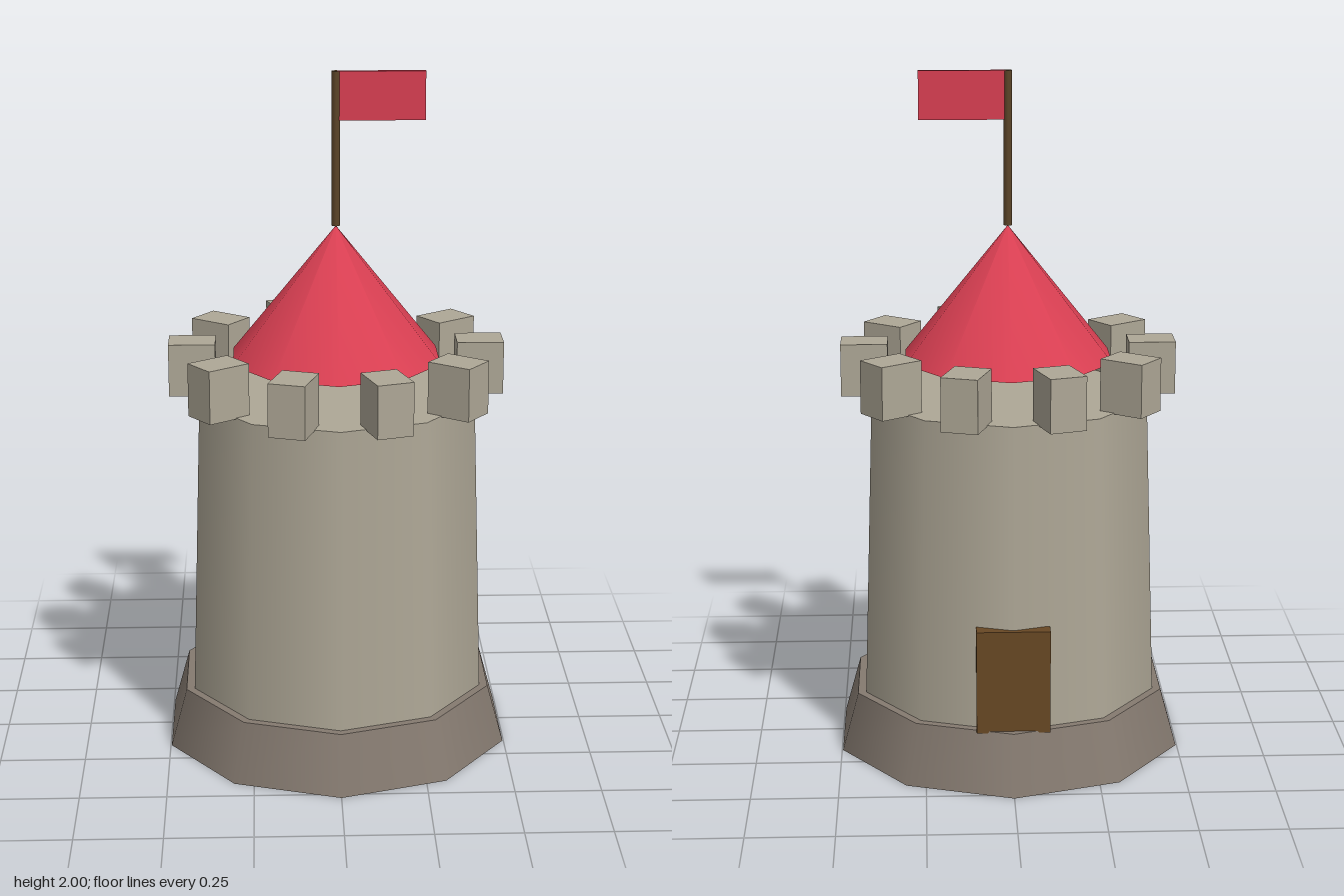
import * as THREE from 'three';

const paint = (name, color) => {
  const m = new THREE.MeshStandardMaterial({ color });
  m.name = name;
  return m;
};

export function createModel() {
  const stone = paint('stone', 0xaea796);
  const darkStone = paint('darkStone', 0x857a70);
  const red = paint('red', 0xd93f52);
  const poleWood = paint('poleWood', 0x5c4529);
  const doorWood = paint('doorWood', 0x684824);

  const SIDES = 10;
  const tower = new THREE.Group();
  tower.name = 'tower';

  const add = (name, geometry, material, x, y, z, parent = tower) => {
    const mesh = new THREE.Mesh(geometry, material);
    mesh.name = name;
    mesh.position.set(x, y, z);
    parent.add(mesh);
    return mesh;
  };

  // Flared footing and tapering wall
  add('footing', new THREE.CylinderGeometry(0.473, 0.523, 0.175, SIDES), darkStone, 0, 0.0875, 0);
  add('wall', new THREE.CylinderGeometry(0.418, 0.448, 0.89, SIDES), stone, 0, 0.62, 0);

  // Ring of merlons, each turned to face outwards
  const battlements = new THREE.Group();
  battlements.name = 'battlements';
  tower.add(battlements);
  const merlonGeometry = new THREE.BoxGeometry(0.136, 0.155, 0.107);
  for (let i = 0; i < SIDES; i++) {
    const a = (i / SIDES) * Math.PI * 2;
    const merlon = add('merlon', merlonGeometry, stone,
      Math.cos(a) * 0.419, 1.139, -Math.sin(a) * 0.419, battlements);
    merlon.rotation.y = a;
  }

  // Pointed roof, raised above the wall top
  add('roof', new THREE.ConeGeometry(0.315, 0.39, SIDES), red, 0, 1.36, 0);

  // Flag on its pole
  add('flagPole', new THREE.CylinderGeometry(0.0125, 0.0125, 0.445, 8), poleWood, 0, 1.7775, 0);
  add('flag', new THREE.BoxGeometry(0.25, 0.14, 0.014), red, 0.13, 1.93, 0);

  // Door at the back
  add('door', new THREE.BoxGeometry(0.21, 0.305, 0.045), doorWood, 0, 0.3225, -0.428);

  return tower;
}
